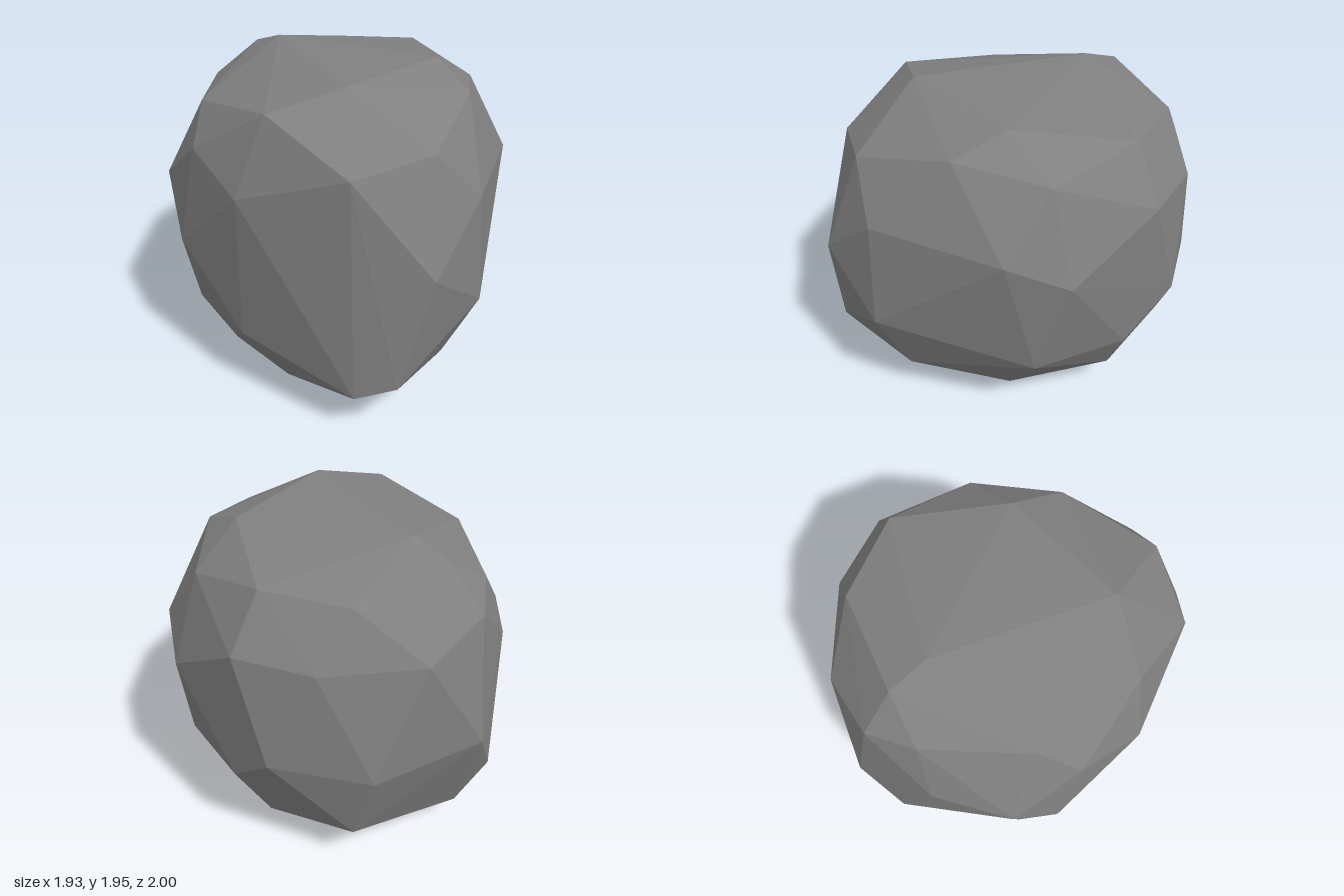
import * as THREE from 'three';
import { ConvexGeometry } from 'three/addons/geometries/ConvexGeometry.js';

// Corners of the boulder, in rings from the crown down to the foot: x, y, z
const crown = [
  [0.16, 1.945, 0.55], [-0.22, 1.845, 0.765], [-0.43, 1.94, -0.29], [0.55, 1.92, -0.11],
  [0.755, 1.81, 0.125], [0.73, 1.73, -0.4], [0.335, 1.84, -0.74], [-0.15, 1.8, -0.83],
  [-0.615, 1.86, -0.435], [-0.7, 1.74, 0.36],
];
const shoulder = [
  [0.25, 1.61, 0.955], [0.635, 1.68, 0.705], [0.87, 1.4, 0.56], [0.965, 1.37, -0.21],
  [0.86, 1.225, -0.54], [0.465, 1.53, -0.89], [0.03, 1.505, -0.99], [-0.53, 1.49, -0.85],
  [-0.8, 1.62, -0.545], [-0.825, 1.69, -0.245], [-0.68, 1.55, 0.6], [-0.37, 1.4, 0.86],
];
const waist = [
  [0.69, 1.08, 0.93], [0.91, 0.775, 0.57], [0.86, 0.62, -0.35], [0.525, 0.645, -0.785],
  [0.295, 0.91, -1], [-0.275, 0.82, -1], [-0.855, 0.89, -0.68], [-0.97, 1.28, -0.155],
  [-0.97, 1.25, 0.305], [-0.825, 0.93, 0.54],
];
const foot = [
  [0.525, 0.415, 0.99], [0.29, 0.315, 1], [0.715, 0.305, 0.47], [0.55, 0.135, -0.11],
  [0.35, 0.28, -0.68], [-0.16, 0.35, -0.9], [-0.945, 0.51, -0.42], [-0.83, 0.39, 0.32],
  [-0.415, 0.47, 0.75], [0.465, 0.09, 0.61], [-0.18, 0.115, 0.64], [-0.605, 0.1, 0.33],
  [-0.77, 0.175, -0.41], [-0.13, 0.09, -0.56], [0.085, 0, 0.02],
];

export function createModel() {
  const group = new THREE.Group();
  group.name = 'boulder';

  const stone = new THREE.MeshStandardMaterial({ color: 0x808080, flatShading: true });
  stone.name = 'grey stone';

  // Faceted rock skin stretched over the corners
  const corners = [...crown, ...shoulder, ...waist, ...foot].map((p) => new THREE.Vector3(...p));
  const rock = new THREE.Mesh(new ConvexGeometry(corners), stone);
  rock.name = 'rock';
  group.add(rock);
  return group;
}
